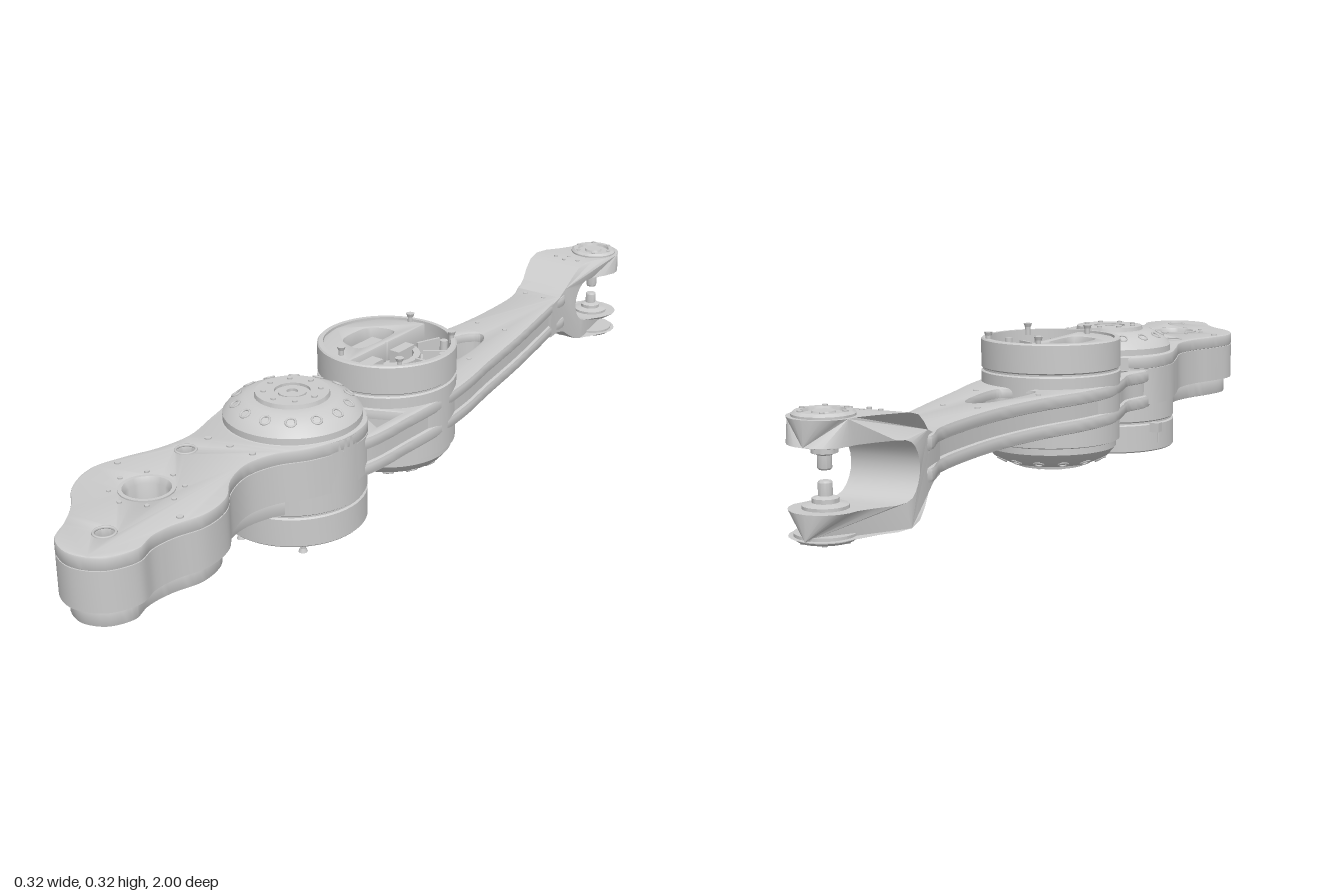
import * as THREE from 'three';
import { toCreasedNormals } from 'three/addons/utils/BufferGeometryUtils.js';

const material = new THREE.MeshStandardMaterial({ color: 0xcccccc, side: THREE.DoubleSide });

function add(parent, name, geometry, x = 0, y = 0, z = 0) {
  const mesh = new THREE.Mesh(geometry, material);
  mesh.name = name;
  mesh.position.set(x, y, z);
  parent.add(mesh);
  return mesh;
}
const crease = (geometry, angle = 0.6) => toCreasedNormals(geometry, angle);
const cyl = (r, h, n = 20, top = r) => new THREE.CylinderGeometry(top, r, h, n);
const lathe = (profile, n = 56) =>
  crease(new THREE.LatheGeometry(profile.map(p => new THREE.Vector2(...p)), n));

// Smooth closed outline through [x, z] points
function smooth(points, n = 100) {
  const curve = new THREE.CatmullRomCurve3(points.map(([x, z]) => new THREE.Vector3(x, z, 0)), true);
  return curve.getPoints(n).slice(0, n).map(p => new THREE.Vector2(p.x, p.y));
}
const ring = (x, z, r, n = 24) => Array.from({ length: n }, (_, i) => {
  const a = i / n * Math.PI * 2;
  return new THREE.Vector2(x + r * Math.cos(a), z + r * Math.sin(a));
});
// Moves a clockwise or counter-clockwise outline inwards
function inset(points, d) {
  const s = THREE.ShapeUtils.isClockWise(points) ? -1 : 1, n = points.length;
  return points.map((p, i) => {
    const t = points[(i + 1) % n].clone().sub(points[(i + n - 1) % n]).normalize();
    return new THREE.Vector2(p.x - t.y * d * s, p.y + t.x * d * s);
  });
}
// Horizontal slab between two heights, with holes
function slab(outline, holes, y0, y1, bevel = 0) {
  const shape = new THREE.Shape(outline);
  holes.forEach(h => shape.holes.push(new THREE.Path(h)));
  const geometry = new THREE.ExtrudeGeometry(shape, {
    depth: y1 - y0 - 2 * bevel, bevelEnabled: bevel > 0, bevelSize: bevel,
    bevelThickness: bevel, bevelOffset: -bevel, bevelSegments: 2, curveSegments: 12
  });
  geometry.rotateX(Math.PI / 2).translate(0, y1 - bevel, 0);
  return crease(geometry);
}
// Annular sector outline
function sector(cx, cz, r0, r1, a0, a1) {
  const pts = [], n = 8;
  for (let k = 0; k <= 2 * n + 1; k++) {
    const outer = k <= n, t = outer ? k / n : (2 * n + 1 - k) / n;
    const a = a0 + (a1 - a0) * t, r = outer ? r1 : r0;
    pts.push(new THREE.Vector2(cx + r * Math.cos(a), cz + r * Math.sin(a)));
  }
  return pts;
}

// Joint drive with its domed output below and its open controller bay above
function drive(name) {
  const g = new THREE.Group();
  g.name = name;
  add(g, 'driveHousing', lathe([
    [0, 0.03], [0.012, 0.03], [0.012, 0.024], [0.03, 0.024], [0.03, 0.028], [0.038, 0.028], [0.038, 0.022],
    [0.078, 0.022], [0.08, 0.031], [0.1, 0.032], [0.13, 0.046], [0.147, 0.066], [0.147, 0.08],
    [0.155, 0.083], [0.156, 0.236], [0.152, 0.239], [0.152, 0.243], [0.156, 0.246], [0.156, 0.307],
    [0.153, 0.31], [0.143, 0.31], [0.143, 0.258], [0, 0.258]]));
  // Ports around the dome and bolts on the output hub
  const normal = new THREE.Vector3(0.5, -0.86, 0);
  for (let i = 0; i < 14; i++) {
    const pivot = new THREE.Group();
    pivot.rotation.y = i / 14 * Math.PI * 2;
    const port = new THREE.Mesh(new THREE.TorusGeometry(0.0105, 0.0025, 6, 16), material);
    port.name = 'domePort';
    port.position.set(0.121, 0.041, 0);
    port.lookAt(port.position.clone().add(normal));
    pivot.add(port);
    g.add(pivot);
  }
  for (let i = 0; i < 8; i++) {
    const a = i / 8 * Math.PI * 2;
    add(g, 'hubBolt', cyl(0.006, 0.004, 10), 0.06 * Math.cos(a), 0.0205, 0.06 * Math.sin(a));
  }
  // Half cover with a rounded slot, and connector inside it
  const slot = smooth([[-0.085, -0.05], [-0.03, -0.065], [-0.02, 0], [-0.03, 0.065], [-0.085, 0.05], [-0.095, 0]], 32);
  add(g, 'bayCover', slab(sector(0, 0, 0.003, 0.146, Math.PI / 2, Math.PI * 1.5), [slot], 0.258, 0.305, 0.003));
  add(g, 'connector', new THREE.BoxGeometry(0.035, 0.03, 0.08), -0.055, 0.273, 0);
  add(g, 'connectorBlock', new THREE.BoxGeometry(0.03, 0.035, 0.05), 0.02, 0.275, 0.085);
  add(g, 'connectorBlock', new THREE.BoxGeometry(0.025, 0.03, 0.06), 0.02, 0.273, -0.03);
  // Ribs and bosses in the open half
  for (let i = 0; i < 5; i++) {
    const a = (i - 2) * 0.6;
    const rib = add(g, 'bayRib', new THREE.BoxGeometry(0.06, 0.03, 0.006), 0.11 * Math.cos(a), 0.272, 0.11 * Math.sin(a));
    rib.rotation.y = -a;
    add(g, 'bayBoss', cyl(0.009, 0.04, 12), 0.132 * Math.cos(a + 0.3), 0.277, 0.132 * Math.sin(a + 0.3));
  }
  add(g, 'bayRim', slab(sector(0, 0, 0.06, 0.075, -1.3, 1.3), [], 0.257, 0.28));
  // Standing screws
  for (const [x, z] of [[0.105, 0.095], [0.105, -0.1], [-0.035, -0.135], [-0.035, 0.12]]) {
    add(g, 'screwPost', cyl(0.006, 0.02, 10), x, 0.308, z);
    add(g, 'screwHead', cyl(0.007, 0.008, 10, 0.01), x, 0.321, z);
  }
  return g;
}

function frontHousing() {
  const g = new THREE.Group();
  g.name = 'frontHousing';
  const outline = smooth([
    [0.135, 0.22], [0.16, 0.31], [0.138, 0.4], [0.094, 0.47], [0.08, 0.54], [0.102, 0.61], [0.145, 0.67],
    [0.158, 0.74], [0.14, 0.81], [0.138, 0.86], [0.152, 0.91], [0.125, 0.972], [0.065, 0.997], [0.005, 0.975],
    [-0.028, 0.92], [-0.065, 0.87], [-0.125, 0.81], [-0.153, 0.735], [-0.137, 0.66], [-0.112, 0.59],
    [-0.103, 0.51], [-0.13, 0.41], [-0.152, 0.31], [-0.13, 0.22], [0, 0.16]], 140);
  const bores = [ring(0, 0.735, 0.052), ring(-0.06, 0.565, 0.019), ring(0.062, 0.905, 0.019)];
  add(g, 'topPlate', slab(outline, bores, 0.215, 0.244, 0.004));
  // Truss of pockets open underneath
  const pockets = [bores[0], bores[1], bores[2]];
  for (let i = 0; i < 6; i++) {
    const a = i / 6 * Math.PI * 2 + 0.55;
    pockets.push(sector(0, 0.735, 0.064, 0.116, a, a + 0.9));
  }
  pockets.push(sector(0.062, 0.905, 0.028, 0.055, -0.35, 1.2), sector(0.062, 0.905, 0.028, 0.055, 1.4, 3.0));
  pockets.push(smooth([[-0.02, 0.5], [0.04, 0.5], [0.045, 0.56], [0.025, 0.6], [-0.025, 0.56]], 24));
  add(g, 'sideWall', slab(outline, pockets, 0.13, 0.215));
  add(g, 'lowerRim', slab(inset(outline, 0.018), pockets, 0.09, 0.13, 0.003));
  // Bearing seat and small screws
  add(g, 'bearingSeat', lathe([[0.042, 0.16], [0.056, 0.16], [0.056, 0.247], [0.048, 0.247], [0.042, 0.235], [0.042, 0.16]], 32), 0, 0, 0.735);
  for (const b of [[-0.06, 0.565], [0.062, 0.905]])
    add(g, 'boreLip', new THREE.TorusGeometry(0.021, 0.003, 6, 24).rotateX(Math.PI / 2), b[0], 0.244, b[1]);
  for (let i = 0; i < 8; i++) {
    const a = i / 8 * Math.PI * 2;
    add(g, 'seatScrew', cyl(0.005, 0.004, 8), 0.072 * Math.cos(a), 0.245, 0.735 + 0.072 * Math.sin(a));
  }
  for (const [x, z] of [[-0.06, 0.5], [0, 0.5], [0.06, 0.5], [-0.125, 0.69], [0.13, 0.78]])
    add(g, 'plateScrew', cyl(0.007, 0.004, 10), x, 0.245, z);
  return g;
}

function arm() {
  const g = new THREE.Group();
  g.name = 'arm';
  const outline = smooth([
    [0.13, 0.3], [0.155, 0.24], [0.16, 0.1], [0.16, -0.02], [0.147, -0.14], [0.125, -0.25], [0.095, -0.42],
    [0.064, -0.57], [0.038, -0.69], [0.028, -0.75], [-0.1, -0.75], [-0.075, -0.66], [-0.066, -0.55],
    [-0.07, -0.4], [-0.095, -0.26], [-0.135, -0.13], [-0.152, -0.02], [-0.135, 0.07], [-0.12, 0.14],
    [-0.133, 0.22], [-0.11, 0.3]], 120);
  const holes = [
    smooth([[0.01, -0.385], [0.035, -0.36], [0.055, -0.2], [0.045, -0.178], [-0.03, -0.178], [-0.042, -0.2], [-0.018, -0.36]], 40),
    [[-0.035, 0.143], [-0.102, 0.1], [-0.102, 0.19]].map(p => new THREE.Vector2(...p)),
    [[0.045, 0.143], [0.135, 0.1], [0.135, 0.19]].map(p => new THREE.Vector2(...p))];
  // Two flanges joined by a slightly narrower web
  add(g, 'lowerFlange', slab(outline, holes, 0.122, 0.152, 0.007));
  add(g, 'web', slab(inset(outline, 0.008), holes, 0.145, 0.19));
  add(g, 'upperFlange', slab(outline, holes, 0.182, 0.212, 0.007));
  for (const [x, z] of [[-0.055, -0.69], [0, -0.69], [-0.035, -0.44], [0.045, -0.44], [-0.07, -0.235], [0.08, -0.235]])
    for (const y of [0.122, 0.212]) add(g, 'armScrew', cyl(0.006, 0.004, 8), x, y, z);
  return g;
}

function fork() {
  const g = new THREE.Group();
  g.name = 'fork';
  const mid = 0.165, end = -0.935, r = 0.066;
  // Side edges as [z, left edge, right edge]
  const edges = [[-0.66, -0.073, 0.044], [-0.75, -0.1, 0.028], [-0.8, -0.116, 0.028], [-0.84, -0.117, 0.03],
    [-0.87, -0.106, 0.038], [-0.9, -0.085, 0.055], [end, -r, r]];
  const span = z => {
    if (z <= end) {
      const h = Math.sqrt(Math.max(0, r * r - (z - end) ** 2));
      return [-h, h];
    }
    const i = Math.max(1, edges.findIndex(e => e[0] <= z)), a = edges[i - 1], b = edges[i];
    const t = (z - a[0]) / (b[0] - a[0]);
    return [a[1] + (b[1] - a[1]) * t, a[2] + (b[2] - a[2]) * t];
  };
  // Upper half of the side profile as [z, height from the middle], mirrored below
  const outer = [[-0.66, 0.043], [-0.71, 0.046], [-0.75, 0.058], [-0.78, 0.078], [-0.81, 0.096], [-0.84, 0.104]];
  const tip = [-0.87, -0.9, -0.935, -0.955, -0.97, -0.982, -0.992, -0.998, -1.001];
  tip.forEach(z => outer.push([z, 0.106]));
  const inner = [...tip].reverse().map(z => [z, 0.058]);
  for (let i = 1; i <= 6; i++) {
    const a = i / 6 * Math.PI / 2;
    inner.push([-0.865 + 0.058 * Math.sin(a), 0.058 * Math.cos(a)]);
  }
  const half = [...outer, ...inner];
  const profile = [...half, ...half.slice(0, -1).reverse().map(([z, h]) => [z, -h])];
  const geometry = new THREE.ExtrudeGeometry(
    new THREE.Shape(profile.map(([z, h]) => new THREE.Vector2(z, h + mid))), { depth: 1, bevelEnabled: false });
  // Turn the profile upright along z and fit its width to the side edges
  const p = geometry.attributes.position;
  for (let i = 0; i < p.count; i++) {
    const z = p.getX(i), [a, b] = span(z), t = p.getZ(i);
    p.setXYZ(i, b + (a - b) * t, p.getY(i), z);
  }
  add(g, 'forkBody', crease(geometry));
  // Bearing caps and facing pins on both prongs
  for (const s of [1, -1]) {
    const side = new THREE.Group();
    side.name = s > 0 ? 'upperPivot' : 'lowerPivot';
    side.position.set(0, mid, end);
    if (s < 0) side.rotation.x = Math.PI;
    add(side, 'cap', lathe([[0, 0.1], [0.057, 0.1], [0.057, 0.11], [0.051, 0.115], [0.04, 0.115], [0.038, 0.109],
      [0.022, 0.109], [0.02, 0.114], [0, 0.114]], 36));
    for (let i = 0; i < 6; i++) {
      const a = i / 6 * Math.PI * 2;
      add(side, 'capScrew', cyl(0.005, 0.005, 8), 0.045 * Math.cos(a), 0.115, 0.045 * Math.sin(a));
    }
    add(side, 'pin', lathe([[0, 0.01], [0.011, 0.01], [0.013, 0.013], [0.013, 0.036], [0.024, 0.04], [0.024, 0.048],
      [0.042, 0.052], [0.042, 0.06]], 28));
    for (const [x, z] of [[-0.06, 0.09], [-0.03, 0.1], [0.005, 0.09], [-0.03, 0.075]])
      add(side, 'prongScrew', cyl(0.005, 0.004, 8), x, 0.105, s * z);
    g.add(side);
  }
  return g;
}

export function createModel() {
  const model = new THREE.Group();
  model.name = 'roboticLimb';
  const rear = drive('rearDrive');
  rear.position.set(0.005, 0, -0.018);
  const front = drive('frontDrive');
  front.rotation.x = Math.PI;
  front.position.set(0.005, 0.325, 0.31);
  model.add(frontHousing(), front, rear, arm(), fork());
  // Cable plug beside the front drive
  add(model, 'cablePlug', new THREE.BoxGeometry(0.022, 0.022, 0.022), -0.148, 0.075, 0.235);
  add(model, 'cableStub', cyl(0.003, 0.04, 8), -0.152, 0.058, 0.24);
  return model;
}
